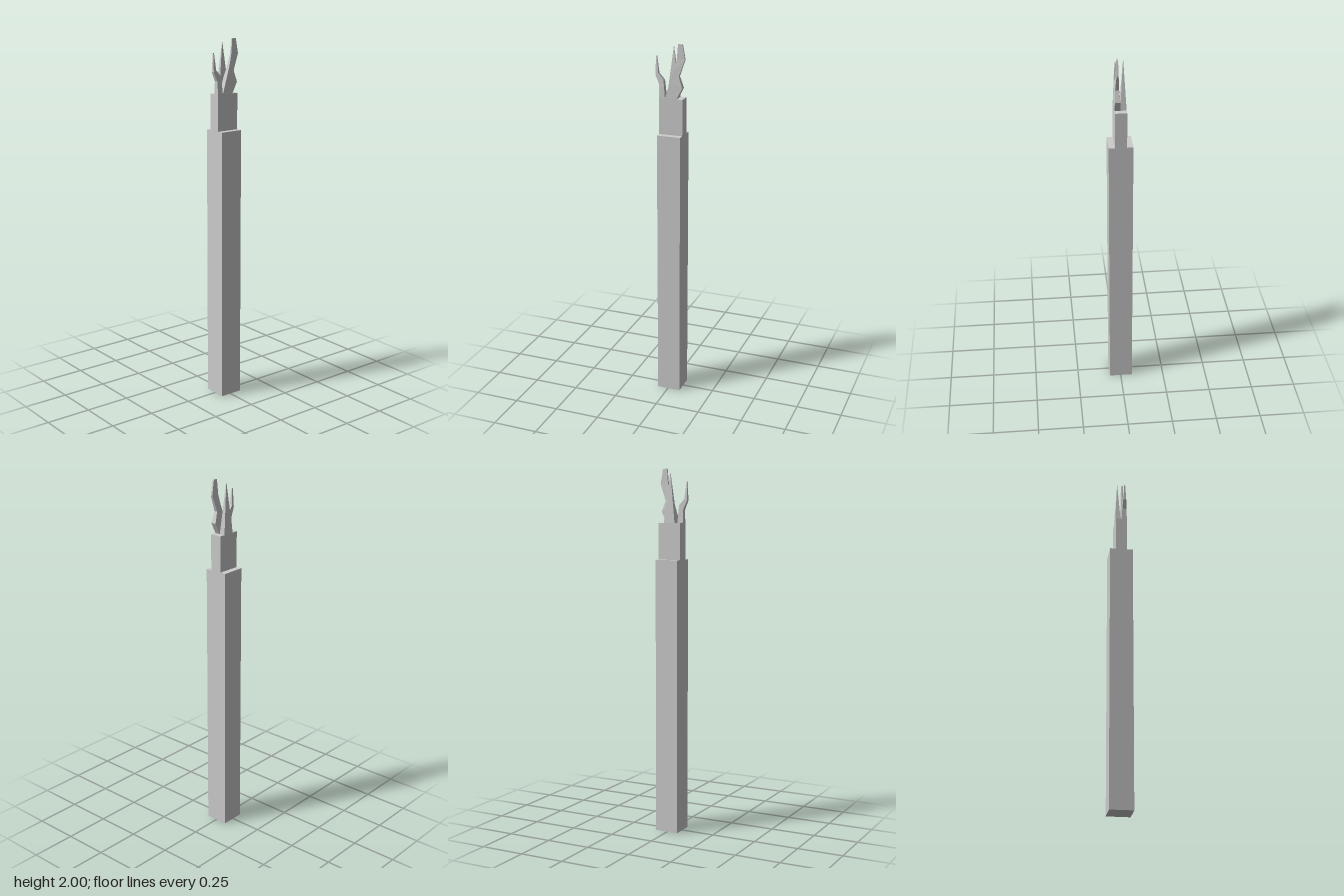
import * as THREE from 'three';

// Box from its lower and upper corners
function block(name, x0, x1, y0, y1, z0, z1, material) {
  const geo = new THREE.BoxGeometry(x1 - x0, y1 - y0, z1 - z0);
  geo.translate((x0 + x1) / 2, (y0 + y1) / 2, (z0 + z1) / 2);
  const mesh = new THREE.Mesh(geo, material);
  mesh.name = name;
  return mesh;
}

// Splinter through four-sided sections [x0, x1, zFront, yFront, zBack, yBack]
function splinter(name, sections, material) {
  const rings = sections.map(([x0, x1, zf, yf, zb, yb]) => [
    [x0, yf, zf], [x1, yf, zf], [x1, yb, zb], [x0, yb, zb],
  ]);
  const pos = [];
  const quad = (a, b, c, d) => pos.push(...a, ...b, ...c, ...a, ...c, ...d);
  for (let k = 0; k < rings.length - 1; k++) {
    for (let i = 0; i < 4; i++) {
      const j = (i + 1) % 4;
      quad(rings[k][i], rings[k][j], rings[k + 1][j], rings[k + 1][i]);
    }
  }
  quad(...rings[rings.length - 1]);
  const geo = new THREE.BufferGeometry();
  geo.setAttribute('position', new THREE.Float32BufferAttribute(pos, 3));
  geo.computeVertexNormals();
  const mesh = new THREE.Mesh(geo, material);
  mesh.name = name;
  return mesh;
}

export function createModel() {
  const group = new THREE.Group();
  group.name = 'brokenPost';
  const grey = new THREE.MeshStandardMaterial({ color: 0xcccccc, flatShading: true });
  grey.name = 'pale grey';

  // Post and the narrower tenon on top
  group.add(block('post', -0.066, 0.064, 0, 1.513, -0.07, 0.061, grey));
  group.add(block('tenon', -0.033, 0.031, 1.513, 1.71, -0.07, 0.061, grey));

  // Straight spike on the right half
  group.add(splinter('spike', [
    [-0.033, 0, 0.028, 1.71, -0.037, 1.71],
    [-0.0175, -0.0165, -0.004, 1.978, -0.006, 1.978],
  ], grey));

  // Short splinter bent forwards
  group.add(splinter('frontSplinter', [
    [0, 0.031, 0.061, 1.71, 0.028, 1.71],
    [0.004, 0.027, 0.061, 1.78, 0.037, 1.805],
    [0.007, 0.024, 0.083, 1.83, 0.067, 1.84],
    [0.013, 0.018, 0.082, 1.93, 0.077, 1.93],
  ], grey));

  // Tall crooked splinter leaning back
  group.add(splinter('backSplinter', [
    [0, 0.031, 0.028, 1.71, -0.037, 1.71],
    [0.002, 0.03, 0, 1.8, -0.068, 1.77],
    [0.008, 0.027, -0.02, 1.86, -0.048, 1.83],
    [0.012, 0.023, -0.035, 1.92, -0.08, 1.92],
    [0.014, 0.022, -0.042, 2, -0.066, 2],
  ], grey));

  return group;
}
